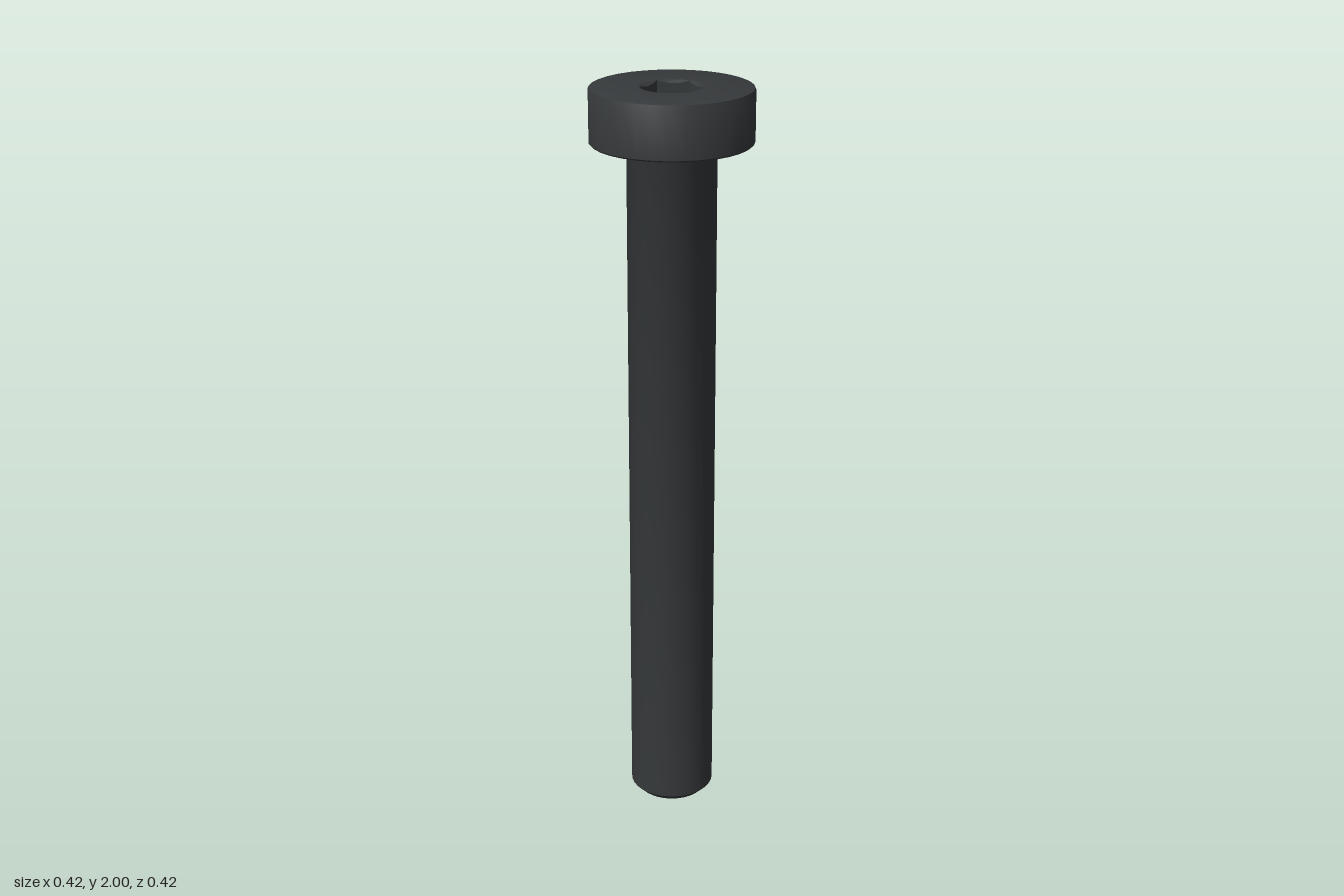
import * as THREE from 'three';
import { toCreasedNormals } from 'three/addons/utils/BufferGeometryUtils.js';

const material = new THREE.MeshStandardMaterial({ color: 0x36393b });

function revolve(profile, sides) {
  return new THREE.LatheGeometry(profile.map(([r, y]) => new THREE.Vector2(r, y)), sides);
}

function addPart(group, name, geometry) {
  const mesh = new THREE.Mesh(toCreasedNormals(geometry, Math.PI / 6), material);
  mesh.name = name;
  group.add(mesh);
}

// Hexagonal recess: a revolved cup whose wall rows are pulled onto a hexagon
function socketGeometry(rim, apothem, top, floor) {
  const geometry = revolve([[rim, top], [apothem, top], [apothem, floor], [0, floor]], 96);
  const pos = geometry.attributes.position;
  const sector = Math.PI / 3;
  for (let i = 0; i < pos.count; i++) {
    const row = i % 4;
    if (row === 0 || row === 3) continue;
    const angle = Math.atan2(pos.getX(i), pos.getZ(i));
    const offset = angle - Math.round(angle / sector) * sector;
    const r = apothem / Math.cos(offset);
    // the lead-in cone meets each flat in a shallow scallop
    const y = row === 1 ? top - (rim - r) * 0.7 : floor;
    pos.setXYZ(i, r * Math.sin(angle), y, r * Math.cos(angle));
  }
  return geometry;
}

export function createModel() {
  const group = new THREE.Group();
  group.name = 'socketHeadBolt';
  const rim = 0.081;

  // Shank with chamfered tip and a small fillet under the head
  addPart(group, 'shank', revolve([
    [0, 0], [0.094, 0], [0.114, 0.02], [0.114, 1.85], [0.117, 1.857], [0.124, 1.86],
  ], 32));

  // Low cylindrical head with softened edges, open at the socket
  addPart(group, 'head', revolve([
    [0.124, 1.86], [0.204, 1.86], [0.208, 1.864], [0.208, 1.993],
    [0.206, 1.998], [0.201, 2], [rim, 2],
  ], 32));

  addPart(group, 'hexSocket', socketGeometry(rim, 0.07, 2, 1.92));
  return group;
}
